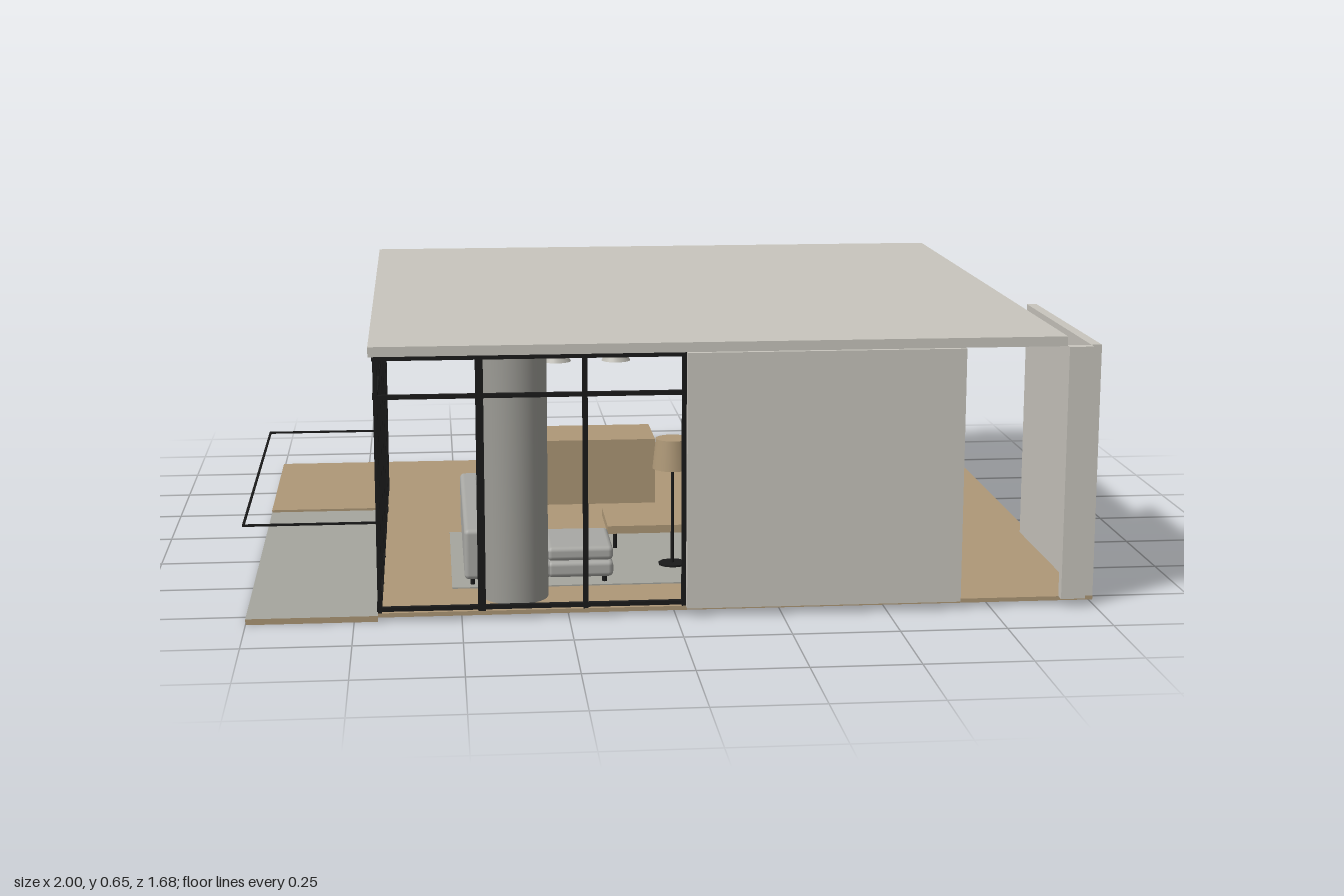
import * as THREE from 'three';
import { RoundedBoxGeometry } from 'three/addons/geometries/RoundedBoxGeometry.js';

const mat = (name, color) => {
  const m = new THREE.MeshStandardMaterial({ color });
  m.name = name;
  return m;
};

export function createModel() {
  const plaster = mat('plaster', 0xc8c5bd);
  const wood = mat('wood', 0xae9877);
  const stone = mat('stone', 0xa6a69e);
  const black = mat('blackMetal', 0x1a1a1a);
  const concrete = mat('concrete', 0x9c9b95);
  const fabric = mat('fabric', 0xa8a8a4);
  const shadeGrey = mat('lampGrey', 0xbab8b0);
  shadeGrey.side = THREE.DoubleSide;

  const model = new THREE.Group();
  model.name = 'pavilion';
  const group = (name) => {
    const g = new THREE.Group();
    g.name = name;
    model.add(g);
    return g;
  };
  const add = (parent, name, geo, material, x = 0, y = 0, z = 0) => {
    const m = new THREE.Mesh(geo, material);
    m.name = name;
    m.position.set(x, y, z);
    parent.add(m);
    return m;
  };
  // Box given by its limits on each axis
  const box = (parent, name, material, x0, x1, y0, y1, z0, z1) =>
    add(parent, name, new THREE.BoxGeometry(x1 - x0, y1 - y0, z1 - z0), material,
      (x0 + x1) / 2, (y0 + y1) / 2, (z0 + z1) / 2);
  const soft = (parent, name, x0, x1, y0, y1, z0, z1) =>
    add(parent, name, new RoundedBoxGeometry(x1 - x0, y1 - y0, z1 - z0, 2, 0.012), fabric,
      (x0 + x1) / 2, (y0 + y1) / 2, (z0 + z1) / 2);
  const rod = (parent, name, material, r, y0, y1, x, z) =>
    add(parent, name, new THREE.CylinderGeometry(r, r, y1 - y0, 10), material, x, (y0 + y1) / 2, z);

  // Floor, terrace and roof
  const floor = group('floor');
  box(floor, 'backFloor', wood, -1, 1, 0.01, 0.02, -0.79, -0.215);
  box(floor, 'mainFloor', wood, -0.695, 1, 0.01, 0.02, -0.215, 0.815);
  box(floor, 'terrace', [wood, wood, stone, stone, wood, wood], -1, -0.695, 0, 0.014, -0.215, 0.815);
  box(model, 'roof', plaster, -0.705, 0.915, 0.627, 0.65, -0.845, 0.828);

  // Walls
  const walls = group('walls');
  const H0 = 0.02, H1 = 0.627;
  [
    ['frontWall', 0.025, 0.675, 0.812, 0.84],
    ['entryReturn', 0.917, 0.975, 0.815, 0.84],
    ['sidePanel', 0.975, 1, 0.205, 0.815],
    ['backPartition', 0.32, 0.35, -0.84, -0.13],
    ['nookBackWall', 0.35, 0.6, -0.16, -0.13],
    ['nookSideWall', 0.575, 0.605, -0.16, 0.21],
    ['nookFrontWall', 0.35, 0.6, 0.18, 0.21],
    ['entryPartition', 0.32, 0.35, 0.18, 0.812],
  ].forEach(([n, x0, x1, z0, z1]) => box(walls, n, plaster, x0, x1, H0, H1, z0, z1));

  add(model, 'column', new THREE.CylinderGeometry(0.078, 0.078, 0.607, 32), concrete, -0.37, 0.3235, 0.69);

  // Window frames on the front and the right side
  const frames = group('windowFrames');
  [0.028, 0.53, 0.62].forEach((y) => {
    box(frames, 'frontRail', black, -0.695, 0.025, y - 0.005, y + 0.005, 0.802, 0.814);
    box(frames, 'sideRail', black, -0.697, -0.685, y - 0.005, y + 0.005, -0.425, 0.814);
  });
  [[-0.69, 0.005], [-0.453, 0.009], [-0.21, 0.006], [0.02, 0.005]].forEach(([x, w]) =>
    box(frames, 'frontPost', black, x - w, x + w, H0, H1, 0.801, 0.815));
  [-0.42, -0.175, 0.06, 0.31, 0.56].forEach((z) =>
    box(frames, 'sidePost', black, -0.698, -0.684, H0, H1, z - 0.006, z + 0.006));

  // Thin rail around the terrace
  const rail = group('terraceRail');
  [-0.215, 0.812].forEach((z) => box(rail, 'railEnd', black, -1, -0.69, 0.234, 0.239, z - 0.0025, z + 0.0025));
  box(rail, 'railSide', black, -1, -0.995, 0.234, 0.239, -0.215, 0.812);

  // Kitchen island with pendant lamps
  box(model, 'island', wood, -0.31, 0.05, 0.02, 0.2, -0.41, -0.21);
  const pendants = group('pendantLamps');
  [-0.215, -0.05].forEach((x) => {
    add(pendants, 'pendantShade', new THREE.CylinderGeometry(0.02, 0.04, 0.035, 24, 1, true), shadeGrey, x, 0.422, -0.31);
    rod(pendants, 'pendantCord', shadeGrey, 0.0015, 0.44, 0.627, x, -0.31);
  });

  // Rug and corner sofa
  box(model, 'rug', stone, -0.52, 0.27, 0.02, 0.023, 0.08, 0.62);
  const sofa = group('sofa');
  soft(sofa, 'sofaBase', -0.49, -0.28, 0.04, 0.08, 0, 0.62);
  soft(sofa, 'sofaBack', -0.49, -0.435, 0.05, 0.165, 0, 0.62);
  soft(sofa, 'chaiseBase', -0.29, -0.13, 0.04, 0.08, 0.42, 0.62);
  soft(sofa, 'chaiseCushion', -0.29, -0.13, 0.08, 0.115, 0.42, 0.615);
  soft(sofa, 'sofaArm', -0.49, -0.28, 0.05, 0.135, 0, 0.045);
  for (let i = 0; i < 3; i++) {
    const z = 0.05 + i * 0.19;
    soft(sofa, 'seatCushion', -0.435, -0.285, 0.08, 0.115, z, z + 0.185);
    soft(sofa, 'backCushion', -0.45, -0.395, 0.115, 0.18, z, z + 0.185);
  }
  [[-0.47, 0.03], [-0.3, 0.03], [-0.47, 0.59], [-0.15, 0.59], [-0.15, 0.45]].forEach(([x, z]) =>
    rod(sofa, 'sofaLeg', black, 0.006, 0.02, 0.045, x, z));

  // Coffee table
  const table = group('coffeeTable');
  box(table, 'tableTop', wood, -0.12, 0.1, 0.065, 0.085, 0.1, 0.3);
  [-0.1, 0.08].forEach((x) => [0.12, 0.28].forEach((z) => rod(table, 'tableLeg', black, 0.005, 0.02, 0.066, x, z)));

  // Floor lamp
  const lamp = group('floorLamp');
  const shade = add(lamp, 'lampShade', new THREE.CylinderGeometry(0.042, 0.05, 0.075, 24), wood, 0.03, 0.307, 0.45);
  shade.name = 'lampShade';
  rod(lamp, 'lampPole', black, 0.004, 0.025, 0.27, 0.03, 0.45);
  rod(lamp, 'lampFoot', black, 0.035, 0.022, 0.028, 0.03, 0.45);

  // Ceiling fan
  const fan = group('ceilingFan');
  rod(fan, 'fanRod', black, 0.005, 0.57, 0.627, -0.185, 0.3);
  rod(fan, 'fanMotor', black, 0.02, 0.552, 0.575, -0.185, 0.3);
  for (let i = 0; i < 3; i++) {
    const blade = new THREE.BoxGeometry(0.12, 0.004, 0.025).translate(0.065, 0, 0).rotateY((i * Math.PI * 2) / 3);
    add(fan, 'fanBlade', blade, black, -0.185, 0.57, 0.3);
  }
  return model;
}
